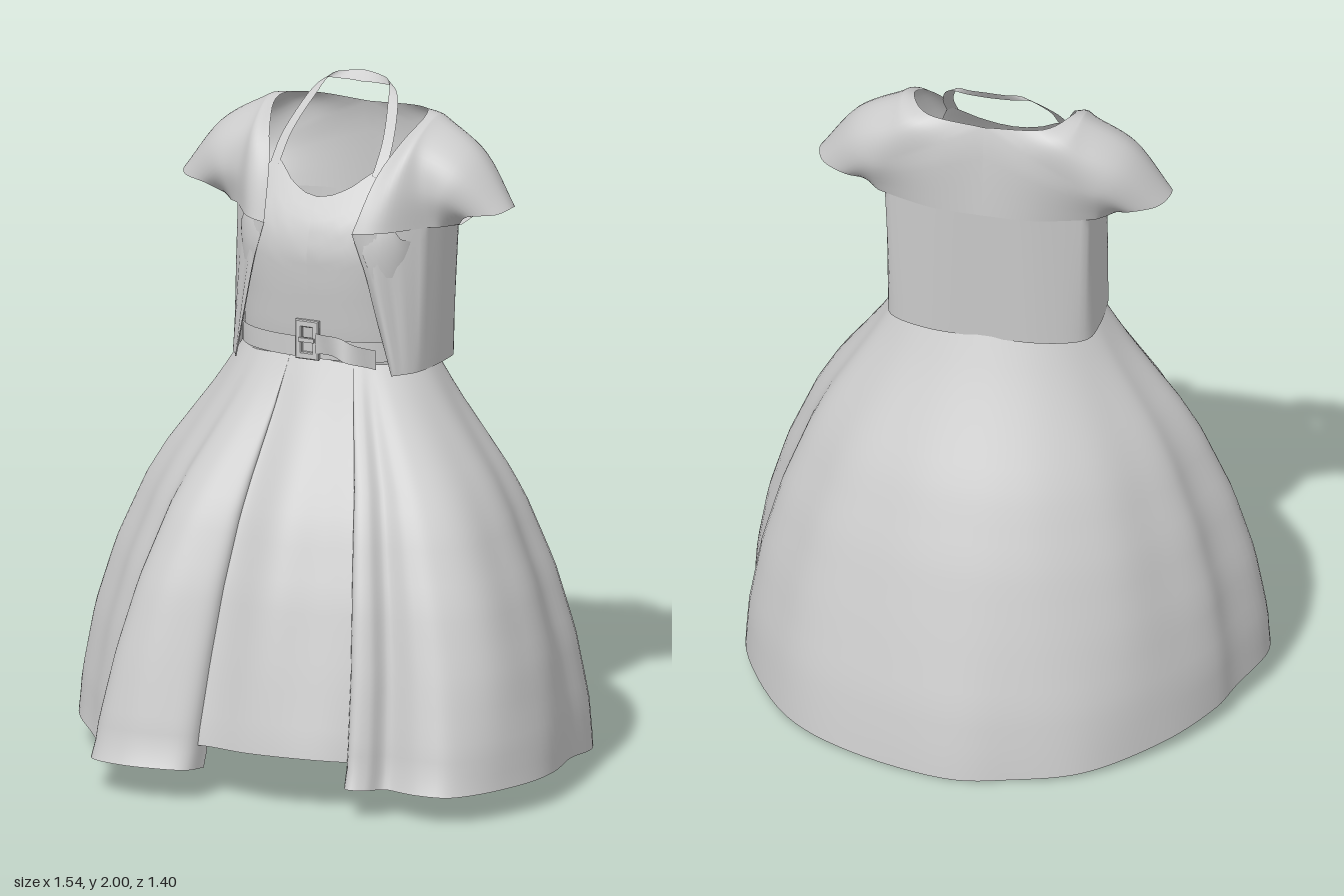
import * as THREE from 'three';

const mat = new THREE.MeshStandardMaterial({ color: 0xcccccc, side: THREE.DoubleSide });
const V = (x, y, z) => new THREE.Vector3(x, y, z);
const through = (pts, closed = false) => new THREE.CatmullRomCurve3(pts, closed, 'catmullrom', 0.5);
const spline = (pts, closed) => through(pts.map(p => V(...p)), closed);

// Piecewise linear lookup in [[key, value], ...] with rising keys
function lookup(table, k) {
  if (k <= table[0][0]) return table[0][1];
  for (let i = 1; i < table.length; i++) {
    const [a, va] = table[i - 1], [b, vb] = table[i];
    if (k <= b) return va + (vb - va) * (k - a) / (b - a);
  }
  return table[table.length - 1][1];
}

// Cloth surface: a grid of points from fn(u, v), u and v in 0..1
function cloth(name, nu, nv, fn) {
  const pos = [], idx = [];
  for (let j = 0; j <= nv; j++)
    for (let i = 0; i <= nu; i++) pos.push(...fn(i / nu, j / nv).toArray());
  for (let j = 0; j < nv; j++)
    for (let i = 0; i < nu; i++) {
      const a = j * (nu + 1) + i, b = a + nu + 1;
      idx.push(a, b, a + 1, b, b + 1, a + 1);
    }
  const geo = new THREE.BufferGeometry();
  geo.setAttribute('position', new THREE.Float32BufferAttribute(pos, 3));
  geo.setIndex(idx);
  geo.computeVertexNormals();
  const mesh = new THREE.Mesh(geo, mat);
  mesh.name = name;
  return mesh;
}

// Rounded oval used for waist and bodice
function oval(a, rx, front, back, n = 2.5) {
  const s = Math.sin(a), c = Math.cos(a), e = 2 / n;
  return [Math.sign(s) * Math.abs(s) ** e * rx,
    Math.sign(c) * Math.abs(c) ** e * (c > 0 ? front : back)];
}

// How far the skirt has flared at a given height, sideways and in depth
const flareX = [[0.08, 1], [0.2, 0.98], [0.4, 0.9], [0.6, 0.77], [0.8, 0.59], [0.9, 0.47], [1, 0.32], [1.1, 0.17], [1.23, 0]];
const flareZ = [[0.02, 1], [0.2, 0.92], [0.4, 0.79], [0.6, 0.65], [0.8, 0.47], [1, 0.24], [1.1, 0.13], [1.23, 0]];
const hemHeight = [[-0.7, 0.005], [-0.4, 0.035], [-0.2, 0.055], [0, 0.078], [0.2, 0.09], [0.55, 0.088], [0.7, 0.105]];

// One skirt layer hung from the waist to a hem outline; lift raises its hem, size shrinks it
function skirtLayer(name, hem, closed, lift, size) {
  const curve = spline(hem.map(([x, z]) => [x, 0, z]), closed);
  return cloth(name, 160, 24, (u, v) => {
    const h = curve.getPoint(u);
    const a = Math.atan2(h.x / 0.77, h.z / 0.7);
    const [wx, wz] = oval(a, 0.285, 0.18, 0.2, 2.1);
    const y = 1.23 + (lookup(hemHeight, h.z) + lift - 1.23) * v;
    const fx = lookup(flareX, y);
    let fz = lookup(flareZ, y);
    if (v === 1 && lift === 0) fz = 1;
    fz += 0.045 * Math.sin(Math.PI * fz) * Math.max(0, Math.cos(a));
    const fold = 0.012 * (1 + 0.5 * Math.cos(a)) * Math.sin(a * 13 + 1) * Math.sin(Math.PI * v);
    const r = size * (1 + fold);
    return V((wx + (h.x - wx) * fx) * r, y, (wz + (h.z - wz) * fz) * r);
  });
}

// Bodice profile by height, and its sweetheart neckline
const chestZ = [[1.2, 0.17], [1.3, 0.188], [1.45, 0.203], [1.55, 0.208], [1.63, 0.187], [1.7, 0.138], [1.78, 0.075]];
const bodiceX = [[1.2, 0.275], [1.4, 0.27], [1.6, 0.285]];
const neckline = [[0, 1.7], [0.05, 1.708], [0.1, 1.735], [0.14, 1.77], [0.175, 1.785], [0.2, 1.72], [0.25, 1.6], [0.28, 1.58]];

function bodice() {
  return cloth('bodice', 72, 16, (u, v) => {
    const a = u * Math.PI * 2;
    const top = Math.cos(a) < 0 ? 1.58 : lookup(neckline, Math.abs(oval(a, 0.285, 1, 1)[0]));
    const y = 1.2 + (top - 1.2) * v;
    const [x, z] = oval(a, lookup(bodiceX, y), lookup(chestZ, y), 0.198);
    return V(x, y, z);
  });
}

// Jacket construction lines, front to back over one shoulder
const armhole = spline([[0.3, 1.62, 0.045], [0.292, 1.73, 0.06], [0.285, 1.84, 0.02], [0.285, 1.905, -0.1],
  [0.285, 1.85, -0.2], [0.292, 1.74, -0.215], [0.3, 1.62, -0.175]]);
const sleeveHem = spline([[0.37, 1.62, -0.03], [0.42, 1.66, 0.018], [0.495, 1.668, -0.01], [0.52, 1.678, -0.065],
  [0.495, 1.668, -0.13], [0.42, 1.66, -0.168], [0.37, 1.62, -0.11]]);
const frontEdge = spline([[0.14, 1.62, 0.2], [0.17, 1.765, 0.105], [0.212, 1.86, 0.015], [0.235, 1.915, -0.09],
  [0.17, 1.91, -0.185], [0, 1.9, -0.2]]);
const underarm = spline([[0.3, 1.62, 0.045], [0.312, 1.603, -0.065], [0.3, 1.62, -0.175]]);
const underHem = spline([[0.37, 1.62, -0.03], [0.36, 1.61, -0.07], [0.37, 1.62, -0.11]]);
const jacketHem = spline([[0.235, 1.2, 0.165], [0.27, 1.2, 0.135], [0.298, 1.2, 0.07], [0.307, 1.2, -0.065],
  [0.285, 1.2, -0.16], [0.16, 1.2, -0.207], [0, 1.2, -0.212]]);
const cutaway = [[1.2, 0.25], [1.35, 0.215], [1.5, 0.18], [1.62, 0.14]];

// Lapel edge and neck, then down the centre back
function innerEdge(u) {
  if (u <= 5 / 6) return frontEdge.getPoint(u * 6 / 5);
  const t = u * 6 - 5;
  return V(0, 1.9 - 0.28 * t, -0.2 - 0.028 * Math.sqrt(t));
}

// Yoke running smoothly into the cap sleeve: v 0..0.5 yoke, 0.5..1 sleeve
function yokePoint(u, v) {
  const a = innerEdge(u), b = armhole.getPoint(u), c = sleeveHem.getPoint(u);
  const up = Math.sin(u * Math.PI), front = Math.cos(u * Math.PI);
  const chest = a.clone().lerp(b, 0.5).add(V(0, 0.006 * up, (front > 0 ? 0.03 : 0.02) * front));
  const cap = b.clone().lerp(c, 0.5).add(V(0.008 * up, 0.035 * up, 0.012 * front));
  return through([a, chest, b, cap, c]).getPoint(v);
}

// Top line of the jacket body, meeting the yoke and the underarm
function bodyTop(u) {
  if (u <= 1 / 3) return yokePoint(0, u * 1.5);
  if (u < 2 / 3) return underarm.getPoint(u * 3 - 1);
  return yokePoint(1, (1 - u) * 1.5);
}

function jacketSide(s) {
  const g = new THREE.Group();
  g.name = s > 0 ? 'jacketLeft' : 'jacketRight';
  const flip = p => V(p.x * s, p.y, p.z);

  g.add(cloth('yokeAndSleeve', 36, 24, (u, v) => flip(yokePoint(u, v))));
  g.add(cloth('sleeveUnderarm', 10, 4, (u, v) =>
    flip(underarm.getPoint(u).lerp(underHem.getPoint(u), v))));

  // Lower body: cutaway front edge, side and back
  g.add(cloth('jacketBody', 36, 12, (u, v) => {
    const p = bodyTop(u).lerp(jacketHem.getPoint(u), v);
    const front = Math.max(0, 1 - u * 3), belly = Math.sin(Math.PI * v);
    p.x += (lookup(cutaway, p.y) - p.x) * front ** 2;
    p.z += belly * 0.008 * Math.sin(u * 60) * Math.max(0, 1 - u * 2);
    return flip(p);
  }));
  return g;
}

// Flat ribbon along a curve, width vector given by a rule
const ribbon = (name, curve, n, width) => cloth(name, n, 2, (u, v) =>
  curve.getPoint(u).addScaledVector(width(u), v - 0.5));

function belt() {
  const g = new THREE.Group();
  g.name = 'belt';
  g.add(cloth('beltBand', 48, 2, (u, v) => {
    const [x, z] = oval(u * Math.PI * 2, 0.28, 0.195, 0.2);
    return V(x, 1.235 + 0.06 * v, z);
  }));
  // Loose belt end with soft creases
  const tail = spline([[0.03, 1.285, 0.212], [0.09, 1.28, 0.208], [0.14, 1.265, 0.21], [0.21, 1.25, 0.185]]);
  g.add(ribbon('beltEnd', tail, 14, u => V(0, 0.06, 0.012 * Math.sin(u * 9))));

  // Buckle frame and pin
  const rect = (shape, w, h) =>
    shape.moveTo(-w, -h).lineTo(w, -h).lineTo(w, h).lineTo(-w, h).closePath();
  const frame = new THREE.Shape(), hole = new THREE.Path();
  rect(frame, 0.034, 0.055);
  rect(hole, 0.02, 0.04);
  frame.holes.push(hole);
  const buckle = new THREE.Mesh(new THREE.ExtrudeGeometry(frame,
    { depth: 0.01, bevelSize: 0.003, bevelThickness: 0.003, bevelSegments: 1 }), mat);
  buckle.name = 'buckleFrame';
  buckle.position.set(0, 1.29, 0.195);
  const pin = new THREE.Mesh(new THREE.BoxGeometry(0.05, 0.012, 0.01), mat);
  pin.name = 'bucklePin';
  pin.position.set(0, 1.29, 0.207);
  g.add(buckle, pin);
  return g;
}

export function createModel() {
  const dress = new THREE.Group();
  dress.name = 'dress';

  // Wrap skirt: shared outline round the back, open at the front with folded edges
  const around = [[-0.25, 0.685], [-0.36, 0.695], [-0.47, 0.65], [-0.52, 0.5], [-0.6, 0.38],
    [-0.72, 0.22], [-0.77, 0.08], [-0.72, -0.1], [-0.685, -0.22], [-0.58, -0.4], [-0.4, -0.585], [-0.2, -0.665],
    [0, -0.7], [0.3, -0.63], [0.52, -0.5], [0.69, -0.25], [0.72, -0.05], [0.77, 0.2], [0.72, 0.4], [0.63, 0.54],
    [0.53, 0.57], [0.42, 0.545]];
  const leftFold = [[0.38, 0.6], [0.33, 0.62], [0.29, 0.55]], rightFold = [[-0.15, 0.57], [-0.17, 0.65]];
  dress.add(skirtLayer('wrapSkirt', [...rightFold, ...around, ...leftFold], false, 0, 1));

  // Underskirt close inside, closed across the front opening
  const inset = [[0.25, 0.62], [0.12, 0.652], [0, 0.66], [-0.15, 0.63]];
  dress.add(skirtLayer('underskirt', [...around, ...inset], true, 0.065, 0.98));

  dress.add(bodice(), belt(), jacketSide(1), jacketSide(-1));

  // Halter strap around the neck
  const half = [[0.165, 1.76, 0.085], [0.16, 1.84, 0.01], [0.135, 1.92, -0.075], [0.105, 1.975, -0.135]];
  const strap = spline([...half, [0.06, 1.983, -0.155], [0, 1.985, -0.16], [-0.06, 1.983, -0.155],
    ...half.map(([x, y, z]) => [-x, y, z]).reverse()]);
  dress.add(ribbon('halterStrap', strap, 48, u => {
    const t = (u - 0.5) * 2, k = Math.min(1, Math.abs(t) * 1.8);
    return V(0.032 * k * Math.sign(t), 0.03 - 0.02 * k, -0.02 * (1 - k));
  }));
  return dress;
}
